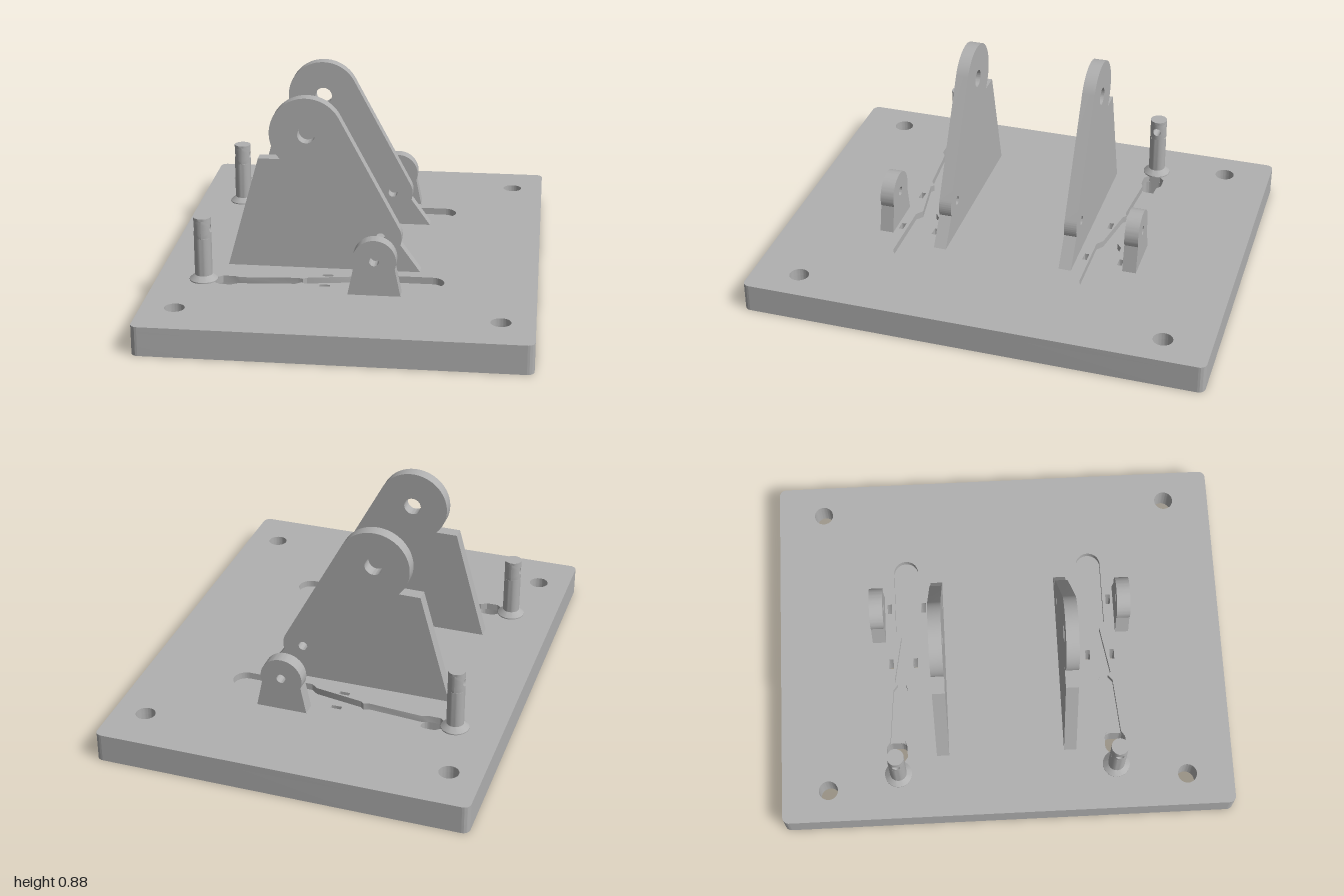
import * as THREE from 'three';
import { toCreasedNormals, mergeGeometries } from 'three/addons/utils/BufferGeometryUtils.js';

const BASE_H = 0.125, GROOVE_D = 0.03;
const grey = new THREE.MeshStandardMaterial({ color: 0xb0b0b0 });
grey.name = 'machined grey';

const circle = (x, y, r) => new THREE.Path().absarc(x, y, r, 0, Math.PI * 2, true);

function roundRect(Type, cx, cy, w, h, r) {
  const p = new Type(), x = w / 2 - r, y = h / 2 - r, q = Math.PI / 2;
  [[x, y], [-x, y], [-x, -y], [x, -y]].forEach(([a, b], i) =>
    p.absarc(cx + a, cy + b, r, i * q, (i + 1) * q, false));
  p.closePath();
  return p;
}

function extrude(shape, depth) {
  const g = new THREE.ExtrudeGeometry(shape, { depth, bevelEnabled: false, curveSegments: 24 });
  return toCreasedNormals(g, 0.5);
}

function add(parent, geometry, name) {
  const m = new THREE.Mesh(geometry, grey);
  m.name = name;
  parent.add(m);
  return m;
}

// Plate outline with the holes that go all the way through
function plateShape() {
  const s = roundRect(THREE.Shape, 0, 0, 1.6, 2, 0.03);
  for (const side of [-1, 1]) {
    for (const x of [-0.66, 0.66]) s.holes.push(circle(x, side * 0.795, 0.042));
    for (const [x, z] of [[-0.085, 0.5], [-0.085, 0.39], [0.18, 0.5], [0.18, 0.345]])
      s.holes.push(roundRect(THREE.Path, x, side * z, 0.045, 0.02, 0.001));
    s.holes.push(circle(-0.6, side * 0.485, 0.012));
  }
  return s;
}

// Shallow channel that ends at the through slot
function groove(side) {
  const p = new THREE.Path();
  const line = pts => pts.forEach(([x, z]) => p.lineTo(x, side * z));
  p.moveTo(-0.525, side * 0.532);
  line([[-0.475, 0.532], [-0.45, 0.515], [-0.21, 0.495], [-0.185, 0.475], [-0.17, 0.488],
    [0.04, 0.452], [0.07, 0.475], [0.355, 0.475]]);
  p.absarc(0.355, side * 0.42, 0.055, side * Math.PI / 2, -side * Math.PI / 2, side > 0);
  line([[0.07, 0.365], [0.04, 0.388], [-0.17, 0.425], [-0.185, 0.438], [-0.21, 0.43],
    [-0.45, 0.45], [-0.475, 0.44], [-0.525, 0.44], [-0.55, 0.46], [-0.55, 0.512]]);
  p.closePath();
  return p;
}

function buildBase(root) {
  const lower = plateShape(), upper = plateShape();
  for (const side of [-1, 1]) {
    lower.holes.push(roundRect(THREE.Path, -0.5, side * 0.486, 0.1, 0.092, 0.028));
    upper.holes.push(groove(side));
  }
  const base = new THREE.Group();
  base.name = 'basePlate';
  const h = BASE_H - GROOVE_D;
  add(base, extrude(lower, h).rotateX(-Math.PI / 2), 'plateBody');
  add(base, extrude(upper, GROOVE_D).rotateX(-Math.PI / 2).translate(0, h, 0), 'groovedTop');
  root.add(base);
}

// Tall side bracket with a round lug on top
function bracketShape() {
  const s = new THREE.Shape(), rad = THREE.MathUtils.degToRad;
  s.moveTo(-0.525, BASE_H);
  s.lineTo(0.3, BASE_H);
  s.absarc(0.13, 0.275, 0.09, rad(-20), rad(29.2), false);
  s.absarc(-0.185, 0.722, 0.157, rad(29.2), rad(225), false);
  s.lineTo(-0.39, 0.61);
  s.closePath();
  s.holes.push(circle(-0.185, 0.722, 0.038), circle(0.13, 0.275, 0.02));
  return s;
}

// Small outer lug
function lugShape() {
  const s = new THREE.Shape(), rad = THREE.MathUtils.degToRad;
  s.moveTo(0.02, BASE_H);
  s.lineTo(0.24, BASE_H);
  s.absarc(0.13, 0.275, 0.091, rad(-20), rad(200), false);
  s.closePath();
  s.holes.push(circle(0.13, 0.275, 0.02));
  return s;
}

// Bend a flat grid by a rule (u, v) -> [x, y, z]
function grid(nu, nv, rule) {
  const g = new THREE.PlaneGeometry(1, 1, nu, nv), pos = g.attributes.position, uv = g.attributes.uv;
  for (let i = 0; i < pos.count; i++) pos.setXYZ(i, ...rule(uv.getX(i), uv.getY(i)));
  g.computeVertexNormals();
  return g;
}

// Flanged post with a cross hole along x
function buildPost() {
  const post = new THREE.Group(), R = 0.037, rh = 0.018, yc = 0.355, h = 0.04, top = 0.405;
  post.name = 'post';
  const lathe = pts => toCreasedNormals(
    new THREE.LatheGeometry(pts.map(([r, y]) => new THREE.Vector2(r, y)), 32), 0.5);
  add(post, lathe([[0, BASE_H], [0.06, BASE_H], [0.06, 0.13], [R, 0.15], [R, yc - h]]), 'flangedShaft');
  add(post, lathe([[R, yc + h], [R, top], [0, top]]), 'postTop');

  // Half cylinder wall around one mouth of the hole
  const wall = grid(32, 6, (u, v) => {
    const a = u * Math.PI * 2, c = Math.cos(a), s = Math.sin(a);
    const k = Math.max(Math.abs(c), Math.abs(s));
    const th = THREE.MathUtils.lerp(Math.asin(rh * c / R), c / k * Math.PI / 2, v);
    return [R * Math.cos(th), yc + THREE.MathUtils.lerp(rh * s, s / k * h, v), R * Math.sin(th)];
  });
  add(post, mergeGeometries([wall, wall.clone().rotateY(Math.PI)]), 'drilledWall');

  const bore = grid(32, 1, (u, v) => {
    const a = u * Math.PI * 2, z = rh * Math.cos(a);
    return [(v * 2 - 1) * Math.sqrt(R * R - z * z), yc + rh * Math.sin(a), z];
  });
  add(post, bore, 'crossBore');
  return post;
}

export function createModel() {
  const root = new THREE.Group();
  root.name = 'bracketMount';
  buildBase(root);

  const bracket = extrude(bracketShape(), 0.055).translate(0, 0, -0.0275);
  const lug = extrude(lugShape(), 0.06).translate(0, 0, -0.03);
  for (const [side, label] of [[1, 'front'], [-1, 'back']]) {
    add(root, bracket, label + 'Bracket').position.z = side * 0.283;
    add(root, lug, label + 'Lug').position.z = side * 0.552;
    const post = buildPost();
    post.name = label + 'Post';
    post.position.set(-0.6, 0, side * 0.483);
    root.add(post);
  }
  return root;
}
